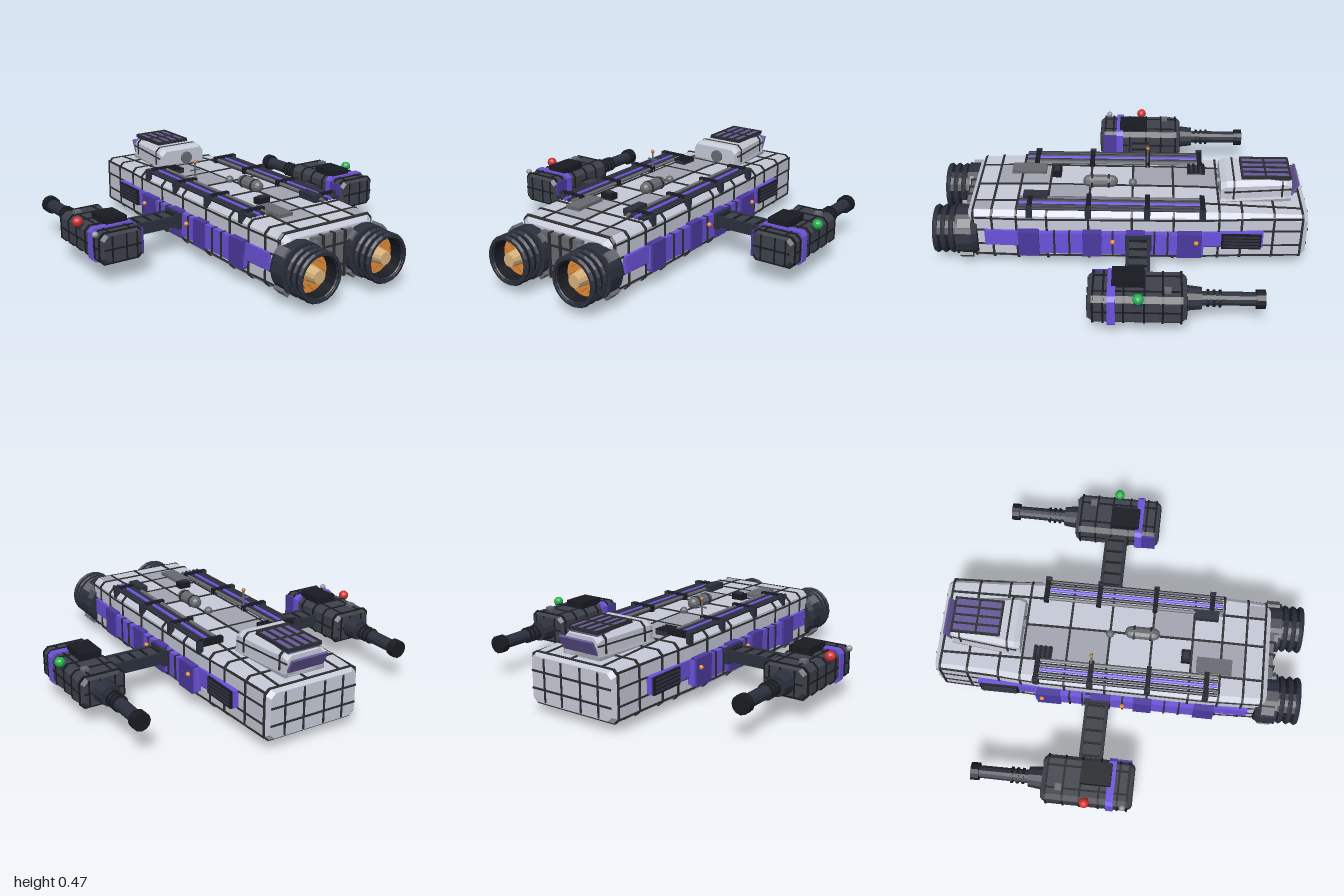
import * as THREE from 'three';

const mats = {};
const mat = (c) => (mats[c] ??= new THREE.MeshStandardMaterial({ color: c, flatShading: true, side: THREE.DoubleSide }));
const LIGHT = 0xc6cad8, MID = 0xa2a5b0, GREY = 0x666a70, SEAM = 0x2c2e30, DARK = 0x2b303d,
  BLACK = 0x191b22, PURPLE = 0x6c52dc, DEEP = 0x4c3aa0, ORANGE = 0xe58a35, TAN = 0xd8b27c, GOLD = 0xb07a40;

function add(parent, name, geo, color, x = 0, y = 0, z = 0) {
  const m = new THREE.Mesh(geo, mat(color));
  m.name = name;
  m.position.set(x, y, z);
  parent.add(m);
  return m;
}
// box given by its limits on each axis
const box = (p, name, c, x0, x1, y0, y1, z0, z1) =>
  add(p, name, new THREE.BoxGeometry(Math.abs(x1 - x0), y1 - y0, z1 - z0), c, (x0 + x1) / 2, (y0 + y1) / 2, (z0 + z1) / 2);
// square bar between two points
function bar(p, name, c, a, b, w, h = w) {
  const A = new THREE.Vector3(...a), B = new THREE.Vector3(...b);
  const m = add(p, name, new THREE.BoxGeometry(w, h, A.distanceTo(B)), c);
  m.position.copy(A).lerp(B, 0.5);
  m.lookAt(B);
  return m;
}
// cylinder along z
const tube = (p, name, c, r0, r1, x, y, z0, z1, n = 16, open = false) =>
  add(p, name, new THREE.CylinderGeometry(r1, r0, z1 - z0, n, 1, open).rotateX(Math.PI / 2), c, x, y, (z0 + z1) / 2);

// chamfered box lofted through sections [z, half width, bottom, top]
function loft(sections, c = 0.025, grow = 0) {
  const pos = [], idx = [];
  for (const [z, w0, b0, t0] of sections) {
    const w = w0 + grow, b = b0 - grow, t = t0 + grow;
    for (const [x, y] of [[w, b + c], [w, t - c], [w - c, t], [c - w, t], [-w, t - c], [-w, b + c], [c - w, b], [w - c, b]]) pos.push(x, y, z);
  }
  const n = sections.length;
  for (let s = 0; s < n - 1; s++) for (let i = 0; i < 8; i++) {
    const a = s * 8 + i, b = s * 8 + (i + 1) % 8;
    idx.push(a, b, b + 8, a, b + 8, a + 8);
  }
  const e = (n - 1) * 8;
  for (let i = 1; i < 7; i++) idx.push(0, i + 1, i, e, e + i, e + i + 1);
  const g = new THREE.BufferGeometry();
  g.setAttribute('position', new THREE.Float32BufferAttribute(pos, 3));
  g.setIndex(idx);
  g.computeVertexNormals();
  return g;
}
const HULL = [[-0.99, 0.25, 0.065, 0.3], [-0.965, 0.265, 0.05, 0.313], [-0.64, 0.277, 0.045, 0.327],
  [-0.4, 0.292, 0.042, 0.338], [0.5, 0.302, 0.04, 0.343], [0.78, 0.292, 0.04, 0.336], [0.81, 0.265, 0.06, 0.31]];
function hullAt(z) {
  const i = Math.max(1, HULL.findIndex((s) => s[0] >= z)), a = HULL[i - 1], b = HULL[i];
  const t = (z - a[0]) / (b[0] - a[0]);
  return a.map((v, k) => v + (b[k] - v) * t);
}

function buildHull(g) {
  add(g, 'hull', loft(HULL), LIGHT);
  // cross seams
  for (const z of [-0.96, -0.81, -0.64, -0.52, -0.28, -0.06, 0.17, 0.39, 0.55, 0.68, 0.78])
    add(g, 'hullSeam', loft([hullAt(z - 0.006), hullAt(z + 0.006)], 0.025, 0.005), SEAM);
  // lengthwise seams, following the taper
  for (let i = 1; i < HULL.length - 2; i++) {
    const a = HULL[i], b = HULL[i + 1];
    for (const x of [-0.17, 0.025, 0.185]) for (const k of [2, 3])
      bar(g, 'hullSeam', SEAM, [x, a[k], a[0]], [x, b[k], b[0]], 0.012, 0.009);
    for (const s of [-1, 1]) for (const y of [0.07, 0.135, 0.225, 0.3])
      bar(g, 'hullSeam', SEAM, [s * a[1], y, a[0]], [s * b[1], y, b[0]], 0.009, 0.009);
  }
  for (const [z, w] of [[-0.99, 0.25], [0.811, 0.262]]) {
    for (const x of [-0.17, -0.06, 0.06, 0.17]) box(g, 'endSeam', SEAM, x - 0.005, x + 0.005, 0.07, 0.295, z - 0.004, z + 0.004);
    for (const y of [0.135, 0.225]) box(g, 'endSeam', SEAM, -w, w, y - 0.005, y + 0.005, z - 0.004, z + 0.004);
  }
  // darker roof panels
  for (const [x0, x1, z0, z1] of [[-0.164, 0.019, -0.514, -0.286], [-0.164, 0.019, -0.274, -0.066],
    [-0.164, 0.019, 0.396, 0.544], [0.031, 0.179, 0.176, 0.384], [-0.164, 0.019, 0.556, 0.674], [0.191, 0.26, 0.686, 0.774]])
    bar(g, 'roofPanel', MID, [(x0 + x1) / 2, hullAt(z0)[3], z0], [(x0 + x1) / 2, hullAt(z1)[3], z1], x1 - x0, 0.005);
  // belly skid and its rim
  box(g, 'bellySkid', BLACK, -0.165, 0.165, 0.012, 0.045, -0.81, 0.63);
  for (const s of [-1, 1]) {
    box(g, 'bellyRail', DARK, s * 0.15, s * 0.17, 0, 0.035, -0.81, 0.63);
    box(g, 'bellyEnd', DARK, -0.15, 0.15, 0, 0.035, s > 0 ? 0.61 : -0.81, s > 0 ? 0.63 : -0.79);
  }
  // tail block between the engines
  box(g, 'tailBlock', GREY, -0.13, 0.13, 0.07, 0.3, 0.8, 0.835);
  for (const x of [-0.07, 0, 0.07]) box(g, 'tailRib', SEAM, x - 0.006, x + 0.006, 0.065, 0.305, 0.8, 0.845);
  for (const y of [0.13, 0.24]) box(g, 'tailRib', SEAM, -0.13, 0.13, y - 0.005, y + 0.005, 0.8, 0.842);
}

function buildCockpit(g) {
  const c = new THREE.Group();
  c.name = 'cockpit';
  g.add(c);
  const base = [[-0.91, 0.105, 0.3, 0.425], [-0.88, 0.11, 0.3, 0.436], [-0.56, 0.145, 0.3, 0.44], [-0.53, 0.14, 0.3, 0.425]];
  add(c, 'cockpitBase', loft(base.map(([z, w]) => [z, w + 0.01, 0.3, 0.345]), 0.012), MID);
  add(c, 'cockpitShell', loft(base), LIGHT);
  for (const z of [-0.86, -0.6]) add(c, 'cockpitSeam', loft([[z - 0.005, z < -0.7 ? 0.112 : 0.14, 0.3, 0.438], [z + 0.005, z < -0.7 ? 0.113 : 0.141, 0.3, 0.438]], 0.025, 0.004), SEAM);
  for (const s of [-1, 1]) bar(c, 'cockpitSeam', SEAM, [s * 0.105, 0.385, -0.91], [s * 0.146, 0.385, -0.55], 0.01, 0.008);
  // roof window with bars
  box(c, 'roofWindow', 0x66599a, -0.095, 0.095, 0.43, 0.452, -0.9, -0.645);
  for (const x of [-0.095, -0.048, 0, 0.048, 0.095]) box(c, 'windowBar', SEAM, x - 0.005, x + 0.005, 0.44, 0.459, -0.9, -0.64);
  for (const z of [-0.9, -0.77, -0.645]) box(c, 'windowBar', SEAM, -0.1, 0.1, 0.44, 0.458, z - 0.005, z + 0.005);
  bar(c, 'windscreen', 0x66599a, [0, 0.345, -0.91], [0, 0.415, -0.945], 0.21, 0.012);
  tube(c, 'rearPort', GREY, 0.035, 0.035, 0.02, 0.375, -0.54, -0.515, 12);
}

function buildEngine(g, s) {
  const e = new THREE.Group();
  e.name = 'engine';
  e.position.set(s * 0.21, 0.17, 0);
  g.add(e);
  tube(e, 'engineCollar', DARK, 0.12, 0.137, 0, 0, 0.76, 0.79);
  tube(e, 'engineCollar', DARK, 0.137, 0.137, 0, 0, 0.79, 0.875);
  // open nozzle wall
  const pts = [[0.115, 0.87], [0.115, 0.9], [0.12, 0.99], [0.108, 0.995], [0.1, 0.91]].map((p) => new THREE.Vector2(...p));
  add(e, 'nozzle', new THREE.LatheGeometry(pts, 20).rotateX(Math.PI / 2), BLACK);
  for (const z of [0.9, 0.943, 0.985]) add(e, 'nozzleRing', new THREE.TorusGeometry(0.118, 0.014, 6, 20), DARK, 0, 0, z);
  tube(e, 'glow', ORANGE, 0.104, 0.104, 0, 0, 0.88, 0.915, 20);
  tube(e, 'exhaustCone', TAN, 0.042, 0.034, 0, 0, 0.91, 0.985, 12);
  for (let i = 0; i < 8; i++) {
    const a = i * Math.PI / 4;
    bar(e, 'glowVane', GOLD, [0.04 * Math.cos(a), 0.04 * Math.sin(a), 0.917], [0.1 * Math.cos(a), 0.1 * Math.sin(a), 0.917], 0.005);
  }
  // clamp plates around the collar
  for (let i = 0; i < 4; i++) {
    const a = Math.PI / 4 + i * Math.PI / 2;
    const m = add(e, 'collarClamp', new THREE.BoxGeometry(0.02, 0.05, 0.07), GREY, 0.14 * Math.cos(a), 0.14 * Math.sin(a), 0.825);
    m.rotation.z = a;
  }
}

function buildSide(g, s) {
  // purple armour strips with ribs
  box(g, 'rearStripe', PURPLE, s * 0.28, s * 0.314, 0.14, 0.23, 0.54, 0.72);
  box(g, 'armour', PURPLE, s * 0.29, s * 0.328, 0.1, 0.23, -0.44, 0.54);
  box(g, 'frontStripe', PURPLE, s * 0.27, s * 0.3, 0.14, 0.23, -0.755, -0.44);
  for (const [z0, z1] of [[0.43, 0.54], [0.1, 0.2], [-0.13, -0.03], [-0.43, -0.3]])
    box(g, 'armourPlate', DEEP, s * 0.3, s * 0.338, 0.09, 0.24, z0, z1);
  for (const z of [-0.25, -0.18, 0.04, 0.27, 0.35]) box(g, 'armourRib', SEAM, s * 0.3, s * 0.334, 0.097, 0.233, z - 0.005, z + 0.005);
  for (const z of [-0.4, 0.04]) add(g, 'sideLamp', new THREE.IcosahedronGeometry(0.013, 1), ORANGE, s * 0.342, 0.19, z);
  // side vent
  box(g, 'sideVent', BLACK, s * 0.28, s * 0.312, 0.135, 0.225, -0.745, -0.535);
  for (let i = 0; i < 4; i++) box(g, 'ventSlat', DARK, s * 0.3, s * 0.319, 0.148 + i * 0.02, 0.157 + i * 0.02, -0.735, -0.545);
  // roof pipes and brackets
  [[0.18, GREY], [0.205, DARK], [0.23, PURPLE], [0.255, DARK], [0.28, DARK]].forEach(([x, c]) =>
    tube(g, 'roofPipe', c, 0.01, 0.01, s * x, 0.357, -0.44, 0.54, 8));
  for (const z of [-0.43, -0.14, 0.17, 0.48]) {
    box(g, 'pipeBracket', BLACK, s * 0.16, s * 0.3, 0.34, 0.374, z - 0.013, z + 0.013);
    box(g, 'bracketFoot', DARK, s * 0.28, s * 0.305, 0.31, 0.374, z - 0.016, z + 0.016);
  }
}

function buildWing(g, s) {
  const w = new THREE.Group();
  w.name = s > 0 ? 'leftWing' : 'rightWing';
  g.add(w);
  box(w, 'wingArm', 0x3a3d44, s * 0.29, s * 0.68, 0.163, 0.21, -0.15, -0.04);
  for (const z of [-0.15, -0.04]) box(w, 'armSpar', DARK, s * 0.3, s * 0.67, 0.155, 0.217, z - 0.008, z + 0.008);
  for (const x of [0.36, 0.43, 0.5, 0.57, 0.64]) box(w, 'armRib', BLACK, s * (x - 0.006), s * (x + 0.006), 0.156, 0.216, -0.152, -0.038);
  box(w, 'armRoot', DARK, s * 0.3, s * 0.35, 0.14, 0.23, -0.165, -0.025);
  // pod
  const pod = new THREE.Group();
  pod.name = 'pod';
  pod.position.x = s * 0.78;
  w.add(pod);
  const P = [[-0.335, 0.105, 0.12, 0.255], [-0.31, 0.12, 0.105, 0.268], [0.12, 0.12, 0.105, 0.268], [0.145, 0.105, 0.12, 0.255]];
  add(pod, 'podBody', loft(P), 0x3d414a);
  for (const z of [-0.31, -0.22, -0.13, -0.03, 0.07, 0.12])
    add(pod, 'podSeam', loft([[z - 0.005, ...P[1].slice(1)], [z + 0.005, ...P[1].slice(1)]], 0.025, 0.004), BLACK);
  add(pod, 'podBand', loft([[0.01, 0.12, 0.105, 0.268], [0.05, 0.12, 0.105, 0.268]], 0.02, 0.008), PURPLE);
  box(pod, 'podInnerPlate', DEEP, -s * 0.115, -s * 0.126, 0.12, 0.255, 0.02, 0.13);
  for (const x of [-0.06, 0.06]) box(pod, 'podSeam', BLACK, x - 0.005, x + 0.005, 0.102, 0.271, -0.31, 0.12);
  for (const x of [-0.06, 0.02, 0.08]) box(pod, 'podSeam', BLACK, x - 0.004, x + 0.004, 0.12, 0.255, -0.339, 0.149);
  box(pod, 'podSeam', BLACK, -0.123, 0.123, 0.183, 0.191, -0.31, 0.12);
  box(pod, 'podSeam', BLACK, -0.105, 0.105, 0.183, 0.191, -0.339, 0.149);
  box(pod, 'podHatch', BLACK, s > 0 ? -0.09 : -0.03, s > 0 ? 0.03 : 0.09, 0.26, 0.305, -0.13, 0.03);
  box(pod, 'podStud', GREY, s * 0.04, s * 0.075, 0.265, 0.285, -0.26, -0.225);
  // gun barrel
  tube(pod, 'barrelMount', DARK, 0.055, 0.065, 0, 0.185, -0.41, -0.32, 12);
  tube(pod, 'barrel', DARK, 0.034, 0.036, 0, 0.185, -0.69, -0.4, 12);
  for (const z of [-0.5, -0.47, -0.44]) tube(pod, 'barrelRing', BLACK, 0.044, 0.044, 0, 0.185, z - 0.006, z + 0.006, 12);
  tube(pod, 'muzzle', BLACK, 0.048, 0.048, 0, 0.185, -0.72, -0.675, 12);
  // tip light
  box(w, 'lightBase', DARK, s * 0.875, s * 0.905, 0.235, 0.265, -0.12, -0.08);
  add(w, 'tipLight', new THREE.IcosahedronGeometry(0.028, 1), s > 0 ? 0x20b04c : 0xd03030, s * 0.906, 0.275, -0.1);
  if (s < 0) add(w, 'sensor', new THREE.IcosahedronGeometry(0.017, 1), 0x999999, -0.91, 0.265, 0.1);
}

function buildRoofDetails(g) {
  const tank = add(g, 'roofTank', new THREE.CapsuleGeometry(0.035, 0.12, 3, 10), GREY, 0.025, 0.368, 0.115);
  tank.rotation.x = Math.PI / 2;
  for (const z of [0.07, 0.16]) tube(g, 'tankStrap', SEAM, 0.038, 0.038, 0.025, 0.368, z - 0.006, z + 0.006, 10);
  add(g, 'roofDome', new THREE.IcosahedronGeometry(0.023, 1), GREY, 0.01, 0.352, -0.06);
  box(g, 'roofHatch', GREY, -0.16, -0.075, 0.335, 0.362, 0.42, 0.61);
  box(g, 'roofBox', BLACK, -0.115, -0.045, 0.335, 0.375, 0.335, 0.385);
  box(g, 'roofBoxLid', DARK, -0.1, -0.06, 0.37, 0.383, 0.345, 0.375);
  box(g, 'roofLocker', DARK, 0.14, 0.19, 0.335, 0.38, 0.39, 0.52);
  box(g, 'roofVent', DARK, -0.17, -0.1, 0.33, 0.358, -0.46, -0.36);
  for (let i = 0; i < 4; i++) box(g, 'roofVentSlat', BLACK, -0.172, -0.098, 0.35, 0.366, -0.455 + i * 0.026, -0.442 + i * 0.026);
  // antenna
  add(g, 'antennaMast', new THREE.CylinderGeometry(0.005, 0.006, 0.13, 6), GREY, -0.165, 0.395, -0.14);
  add(g, 'antennaTip', new THREE.IcosahedronGeometry(0.011, 1), GOLD, -0.165, 0.463, -0.14);
  box(g, 'antennaCross', GREY, -0.195, -0.135, 0.415, 0.422, -0.144, -0.136);
}

export function createModel() {
  const g = new THREE.Group();
  g.name = 'spaceship';
  buildHull(g);
  buildCockpit(g);
  buildRoofDetails(g);
  for (const s of [-1, 1]) {
    buildEngine(g, s);
    buildSide(g, s);
    buildWing(g, s);
  }
  return g;
}
